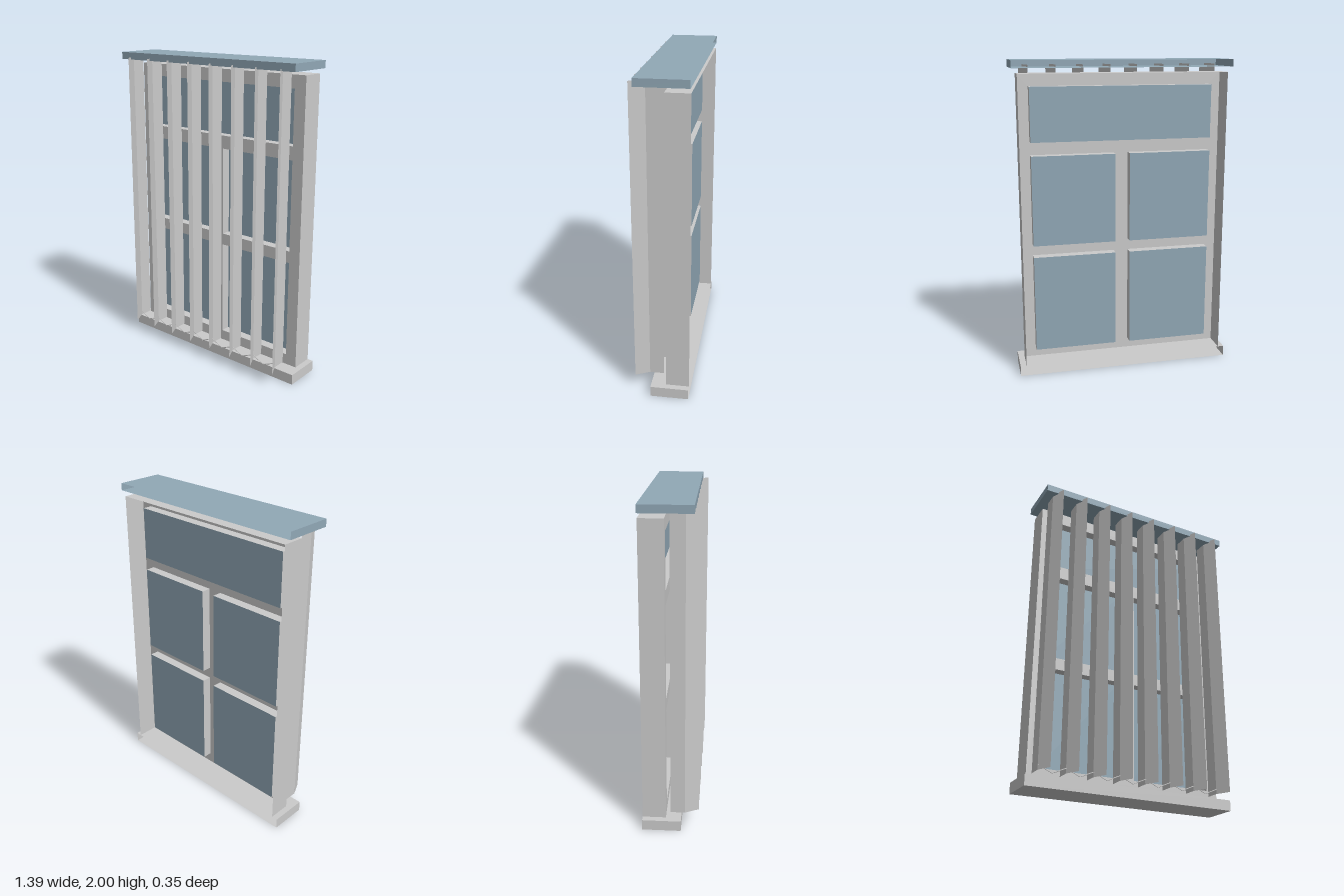
import * as THREE from 'three';

const frameGrey = new THREE.MeshStandardMaterial({ name: 'pale grey', color: 0xcbcbcb, side: THREE.DoubleSide });
const blue = new THREE.MeshStandardMaterial({ name: 'dusty blue', color: 0x91a8b6, side: THREE.DoubleSide });

const BACK = -0.172;

function add(parent, name, geometry, material) {
  const mesh = new THREE.Mesh(geometry, material);
  mesh.name = name;
  parent.add(mesh);
  return mesh;
}

// Hollow box between two corners; keeps the first n of its faces (+x, -x, +y, -y, +z, -z)
function shell([x0, y0, z0], [x1, y1, z1], n) {
  const g = new THREE.BoxGeometry(x1 - x0, y1 - y0, z1 - z0);
  g.setIndex(Array.from(g.index.array).slice(0, n * 6));
  g.clearGroups();
  return g.translate((x0 + x1) / 2, (y0 + y1) / 2, (z0 + z1) / 2);
}

function rectangle(Type, x0, y0, x1, y1) {
  return new Type([[x0, y0], [x1, y0], [x1, y1], [x0, y1]].map(([x, y]) => new THREE.Vector2(x, y)));
}

// Upright strip between two points of the floor plan
function strip(xa, za, xb, zb, y0, y1) {
  return new THREE.PlaneGeometry(Math.hypot(xb - xa, zb - za), y1 - y0)
    .rotateY(Math.atan2(-(zb - za), xb - xa))
    .translate((xa + xb) / 2, (y0 + y1) / 2, (za + zb) / 2);
}

function windowFrame() {
  const group = new THREE.Group();
  group.name = 'windowFrame';
  const front = -0.028, glassZ = -0.09;
  const openings = [[-0.58, 1.503, 0.58, 1.842]];
  for (const [y0, y1] of [[0.135, 0.767], [0.843, 1.418]]) {
    openings.push([-0.58, y0, -0.047, y1], [0.047, y0, 0.58, y1]);
  }
  // Front face with openings, and outer sides running back
  const face = rectangle(THREE.Shape, -0.656, 0.067, 0.656, 1.922);
  face.holes = openings.map((o) => rectangle(THREE.Path, ...o));
  add(group, 'frameFace', new THREE.ShapeGeometry(face).translate(0, 0, front), frameGrey);
  add(group, 'frameSides', shell([-0.656, 0.067, BACK], [0.656, 1.922, front], 3), frameGrey);
  // Recessed panes
  for (const [x0, y0, x1, y1] of openings) {
    add(group, 'paneSurround', shell([x0, y0, glassZ], [x1, y1, front], 4), frameGrey);
    add(group, 'pane', new THREE.PlaneGeometry(x1 - x0, y1 - y0)
      .translate((x0 + x1) / 2, (y0 + y1) / 2, glassZ), blue);
  }
  return group;
}

function verticalBlind() {
  const group = new THREE.Group();
  group.name = 'verticalBlind';
  const count = 8, first = -0.631, pitch = 0.1723, bend = 0.088;
  for (let i = 0; i < count; i++) {
    const x = first + i * pitch;
    // Slat bent along its middle
    const slat = new THREE.Group();
    slat.name = 'slat';
    add(slat, 'slatBackHalf', strip(x, 0, x, bend, 0.09, 1.968), frameGrey);
    add(slat, 'slatFrontHalf', strip(x, bend, x + 0.042, 0.175, 0.09, 1.968), frameGrey);
    group.add(slat);
    if (i === count - 1) continue;
    // Sagging cord to the next slat
    const low = new THREE.Vector3(x + pitch / 2, 0.081, 0.093);
    for (const end of [x, x + pitch]) {
      const high = new THREE.Vector3(end, 0.119, 0.093);
      const cord = new THREE.LineCurve3(high, low);
      add(group, 'cord', new THREE.TubeGeometry(cord, 1, 0.003, 4), frameGrey);
    }
  }
  return group;
}

export function createModel() {
  const model = new THREE.Group();
  model.name = 'windowWithBlind';
  model.add(windowFrame(), verticalBlind());
  // Sill and head rail, both open at the back
  add(model, 'sill', shell([-0.695, 0, BACK], [0.695, 0.067, 0.066], 5), frameGrey);
  add(model, 'headRail', shell([-0.69, 1.954, BACK], [0.69, 2, 0.136], 5), blue);
  return model;
}
